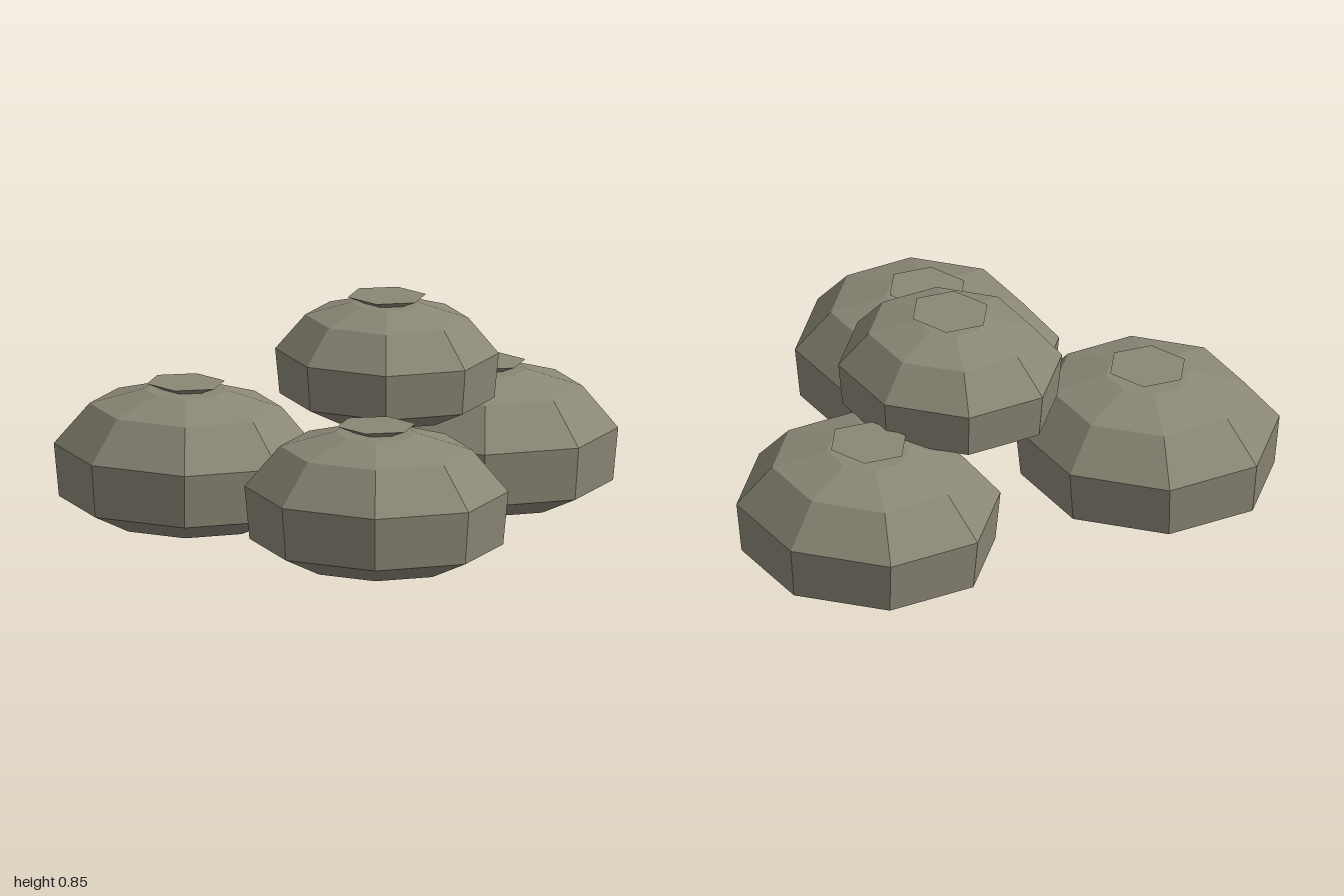
import * as THREE from 'three';

const cloth = new THREE.MeshStandardMaterial({ color: 0x8b8776, flatShading: true });

// Eight-sided body profile: [radius, height], from bottom centre to top centre
const PROFILE = [[0, 0], [0.31, 0], [0.49, 0.08], [0.51, 0.28], [0.372, 0.435], [0.16, 0.495], [0, 0.495]];
const DEPTH = 0.92; // sacks are slightly narrower front to back

function makeSack(name, x, y, z, size) {
  const sack = new THREE.Group();
  sack.name = name;

  const points = PROFILE.map(([r, h]) => new THREE.Vector2(r * size, h * size));
  const body = new THREE.Mesh(new THREE.LatheGeometry(points, 8), cloth);
  body.name = 'sackBody';

  // Flared six-sided tie, the same size on every sack
  const tie = new THREE.CylinderGeometry(0.156, 0.08, 0.03, 6);
  tie.rotateY(Math.PI / 6);
  tie.translate(0, 0.495 * size + 0.012, 0);
  const neck = new THREE.Mesh(tie, cloth);
  neck.name = 'sackNeck';

  sack.add(body, neck);
  sack.scale.z = DEPTH;
  sack.position.set(x, y, z);
  return sack;
}

export function createModel() {
  const pile = new THREE.Group();
  pile.name = 'sackPile';
  pile.add(
    makeSack('rightSack', -0.49, 0, 0.523, 1),
    makeSack('leftSack', 0.49, 0, 0.459, 1),
    makeSack('backSack', 0, 0, -0.53, 1),
    makeSack('topSack', 0, 0.402, -0.036, 0.847),
  );
  return pile;
}
